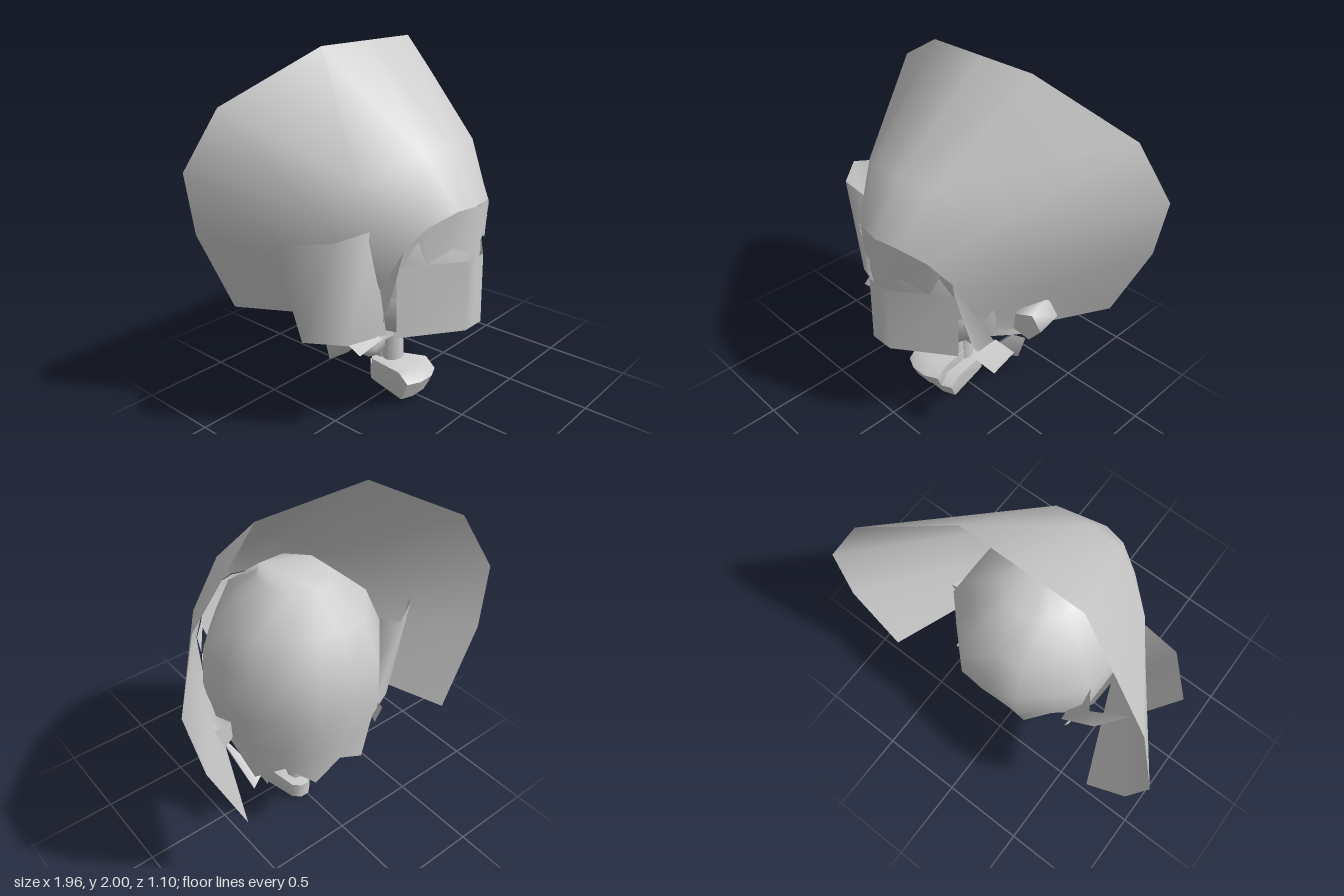
import * as THREE from 'three';
import { toCreasedNormals } from 'three/addons/utils/BufferGeometryUtils.js';

const mat = new THREE.MeshStandardMaterial({ color: 0xcccccc, side: THREE.DoubleSide });

function add(parent, name, geometry) {
  const m = new THREE.Mesh(geometry, mat);
  m.name = name;
  parent.add(m);
  return m;
}

// Smooth surface through rows of points; closed rows wrap round, caps fill the ends
function loft(rows, { closed = false, capStart = false, capEnd = false } = {}) {
  const n = rows[0].length, index = [];
  const cols = closed ? n : n - 1;
  for (let i = 0; i < rows.length - 1; i++) {
    for (let j = 0; j < cols; j++) {
      const a = i * n + j, b = i * n + (j + 1) % n, c = b + n, d = a + n;
      index.push(a, b, c, a, c, d);
    }
  }
  const top = (rows.length - 1) * n;
  for (let j = 1; j < n - 1; j++) {
    if (capStart) index.push(0, j + 1, j);
    if (capEnd) index.push(top, top + j, top + j + 1);
  }
  const g = new THREE.BufferGeometry();
  g.setAttribute('position', new THREE.Float32BufferAttribute(rows.flat(2), 3));
  g.setIndex(index);
  g.computeVertexNormals();
  return g;
}

// Full left-to-right row from its +x half, which starts at x = 0
const mirrorRow = half => [...half.slice(1).reverse().map(([x, y, z]) => [-x, y, z]), ...half];

// Flat polygon in space
function sheet(points) {
  const g = new THREE.BufferGeometry();
  const index = [];
  for (let i = 1; i < points.length - 1; i++) index.push(0, i, i + 1);
  g.setAttribute('position', new THREE.Float32BufferAttribute(points.flat(), 3));
  g.setIndex(index);
  g.computeVertexNormals();
  return g;
}

export function createModel() {
  const root = new THREE.Group();

  // Wide swept-back bonnet brim
  const inner = [[0, 1.24, 0.55], [0.13, 1.235, 0.525], [0.27, 1.17, 0.445], [0.37, 1.06, 0.37], [0.41, 0.85, 0.27], [0.45, 0.64, 0.06]];
  const rim = [[0, 2, -0.18], [0.34, 2, -0.18], [0.83, 1.74, -0.4], [0.98, 1.43, -0.51], [0.91, 1.08, -0.55], [0.7, 0.6, -0.55]];
  const bulge = [0.1, 0.1, 0.06, 0.02, 0, 0];
  const middle = inner.map((p, i) => {
    const [x, y, z] = p.map((v, k) => v + (rim[i][k] - v) * 0.37);
    return [x, y, z + bulge[i]];
  });
  add(root, 'bonnetBrim', loft([inner, middle, rim].map(mirrorRow)));

  // Eight-sided rounded hair, ending in points around the back
  const hairRing = (r, y, tipY = y) => Array.from({ length: 16 }, (_, j) => {
    const a = (j + 1) * Math.PI / 8;
    const corner = j % 2 === 0;
    const k = r * (corner ? 1 : 0.93);
    const z = Math.cos(a + 0) * k;
    return [Math.sin(a) * k, corner && z < 0.1 ? tipY : z < 0.1 ? y : Math.max(y, 0.62), z * 1.02 - 0.03];
  });
  const hair = [[0.44, 0.53, 0.44], [0.475, 0.7], [0.51, 0.92], [0.495, 1.14], [0.4, 1.36], [0.2, 1.53]];
  add(root, 'hair', loft(hair.map(p => hairRing(...p)), { closed: true, capEnd: true }));
  const nape = new THREE.CircleGeometry(0.42, 8);
  nape.rotateX(Math.PI / 2);
  nape.rotateY(Math.PI / 8);
  nape.translate(0, 0.6, -0.03);
  add(root, 'nape', nape);

  // Head with rounded chin
  const head = new THREE.SphereGeometry(1, 12, 8);
  head.scale(0.4, 0.33, 0.33);
  head.translate(0, 0.755, 0.11);
  add(root, 'head', head);

  // Face panel with angled cheeks
  const facePlan = [[0, 0.55], [0.07, 0.55], [0.37, 0.33]];
  const faceRow = y => mirrorRow(facePlan.map(([x, z]) => [x, y, z]));
  add(root, 'facePanel', loft([faceRow(0.57), faceRow(0.96)]));

  // Zigzag fringe hanging from the bonnet opening
  const fringeTop = [[0, 1.235, 0.55], [0.13, 1.235, 0.52], [0.27, 1.17, 0.44], [0.32, 1.11, 0.4], [0.37, 1.06, 0.365]];
  const fringeLow = [[0, 0.97, 0.55], [0.13, 1.035, 0.5], [0.26, 0.97, 0.43], [0.3, 1.1, 0.41], [0.36, 0.96, 0.35]];
  add(root, 'fringe', loft([fringeLow, fringeTop].map(mirrorRow)));

  // Side locks, collar points and hanging strands
  for (const s of [-1, 1]) {
    const side = new THREE.Group();
    side.name = s > 0 ? 'leftLocks' : 'rightLocks';
    const piece = (name, pts) => add(side, name, sheet(pts.map(([x, y, z]) => [x * s, y, z])));
    piece('frontLock', [[0.37, 1.06, 0.375], [0.38, 0.88, 0.33], [0.4, 0.6, 0.25], [0.41, 0.51, 0.19], [0.45, 0.58, 0.12], [0.42, 0.85, 0.27]]);
    piece('hangingStrand', [[0.43, 0.55, 0.19], [0.29, 0.3, -0.1], [0.38, 0.28, -0.15], [0.45, 0.48, -0.12], [0.47, 0.6, 0.02]]);
    piece('collarPoint', [[0.42, 0.57, 0.28], [0.55, 0.51, 0.24], [0.57, 0.59, 0.11], [0.46, 0.63, 0.14]]);
    piece('backLock', [[0.45, 0.64, 0], [0.4, 0.47, -0.31], [0.4, 0.62, -0.36]]);
    root.add(side);
  }

  // Large open tube of gathered hair on one side
  const tubeLow = [[-0.72, 0], [-0.6, 0.2], [-0.38, 0.27], [-0.35, -0.2], [-0.36, -0.33], [-0.54, -0.25]];
  const tubeTop = [[-0.87, 0.02], [-0.7, 0.21], [-0.45, 0.24], [-0.44, -0.2], [-0.52, -0.32], [-0.7, -0.22]];
  const tube = [tubeLow.map(([x, z]) => [x, 0.575, z]), tubeTop.map(([x, z]) => [x, 1.155, z])];
  add(root, 'sideTube', loft(tube, { closed: true }));

  // Five-sided bud on the other side, facing forward
  const bud = new THREE.CylinderGeometry(0.085, 0.1, 0.17, 5);
  bud.rotateX(Math.PI / 2);
  bud.rotateZ(0.25);
  bud.rotateY(0.25);
  const budMesh = add(root, 'sideBud', toCreasedNormals(bud, 1.3));
  budMesh.position.set(0.57, 0.75, -0.03);

  // Torso with a smaller collar block
  const torso = add(root, 'torso', new THREE.BoxGeometry(0.37, 0.13, 0.12));
  torso.position.set(0, 0.425, -0.02);
  const collar = add(root, 'collar', new THREE.BoxGeometry(0.17, 0.08, 0.16));
  collar.position.set(0, 0.46, -0.02);

  // Hand held beside the torso
  const hand = new THREE.SphereGeometry(1, 6, 4);
  hand.scale(0.1, 0.1, 0.07);
  const handMesh = add(root, 'hand', hand);
  handMesh.position.set(-0.225, 0.4, 0.03);
  handMesh.rotation.z = 0.5;

  // Legs and chunky shoes narrowing to the heel, one ahead of the other
  const shoeProfile = [[-0.2, 0.01], [-0.16, 0], [0.15, 0], [0.19, 0.08], [0.11, 0.135], [-0.2, 0.11]];
  const shoes = [
    { x: -0.03, y: 0.075, z: 0.08, legZ: 0, name: 'raised' },
    { x: 0.025, y: 0, z: 0.02, legZ: -0.065, name: 'standing' },
  ];
  for (const { x, y, z, legZ, name } of shoes) {
    const row = (k, px) => shoeProfile.map(([pz, py]) => [x + px * (pz < 0 ? 0.55 : 1), y + py, z + pz * k]);
    const rows = [row(0.8, -0.125), row(1, -0.05), row(1, 0.05), row(0.8, 0.125)];
    add(root, name + 'Shoe', toCreasedNormals(loft(rows, { closed: true, capStart: true, capEnd: true }), 1.1));
    const leg = add(root, name + 'Leg', new THREE.CylinderGeometry(0.058, 0.062, 0.375 - y, 8));
    leg.position.set(x * 0.15, 0.2825 + y / 2, legZ);
  }

  return root;
}
